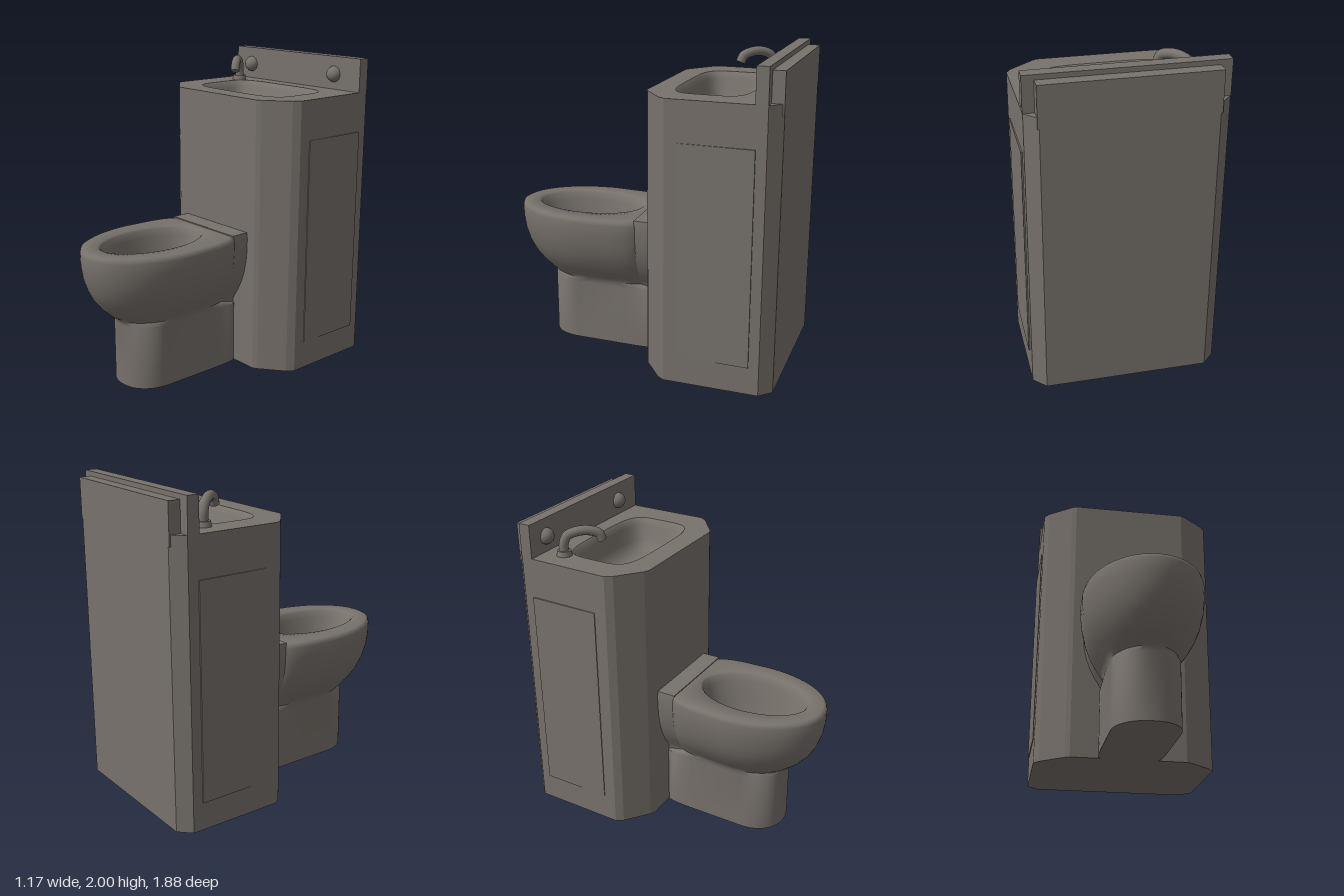
import * as THREE from 'three';
import { toCreasedNormals } from 'three/addons/utils/BufferGeometryUtils.js';

const SEG = 72;

// One horizontal ring: half width w, front f, widest at zc, back b.
// pf / pb square off the front / back half (1 = ellipse), taper narrows the back.
function ring({ y, w, f, zc, b, pf = 1, pb = 1, taper = 0 }) {
  const pts = [];
  for (let i = 0; i < SEG; i++) {
    const t = (i / SEG) * Math.PI * 2;
    const c = Math.cos(t), s = Math.sin(t);
    const p = s >= 0 ? pf : pb;
    const k = Math.pow(Math.abs(s), p);
    const narrow = s < 0 ? 1 - taper * k * k : 1;
    const x = Math.sign(c) * Math.pow(Math.abs(c), p) * w * narrow;
    const z = s >= 0 ? zc + (f - zc) * k : zc - (zc - b) * k;
    pts.push(new THREE.Vector3(x, y, z));
  }
  return pts;
}

// Skin a list of rings
function loft(rings, crease) {
  const pos = [], idx = [];
  rings.forEach(r => r.forEach(p => pos.push(p.x, p.y, p.z)));
  for (let j = 0; j < rings.length - 1; j++) {
    for (let i = 0; i < SEG; i++) {
      const n = (i + 1) % SEG;
      const a = j * SEG + i, b = j * SEG + n, c = a + SEG, d = b + SEG;
      idx.push(a, c, b, b, c, d);
    }
  }
  const g = new THREE.BufferGeometry();
  g.setAttribute('position', new THREE.Float32BufferAttribute(pos, 3));
  g.setIndex(idx);
  return toCreasedNormals(g, crease);
}

// Extrude a floor plan of [x, z] points from y0 to y1, optionally with a hole
function prism(plan, y0, y1, hole) {
  const toShape = ([x, z]) => new THREE.Vector2(x, -z);
  const shape = new THREE.Shape(plan.map(toShape));
  if (hole) shape.holes.push(new THREE.Path(hole.map(p => new THREE.Vector2(p.x, -p.z))));
  const g = new THREE.ExtrudeGeometry(shape, { depth: y1 - y0, bevelEnabled: false });
  return g.rotateX(-Math.PI / 2).translate(0, y0, 0);
}

export function createModel() {
  const model = new THREE.Group();
  model.name = 'toiletAndBasinUnit';
  const steel = new THREE.MeshStandardMaterial({ color: 0x78726c });
  steel.name = 'warm grey steel';

  const add = (name, geometry, x = 0, y = 0, z = 0) => {
    const m = new THREE.Mesh(geometry, steel);
    m.name = name;
    m.position.set(x, y, z);
    model.add(m);
    return m;
  };

  // Cabinet with chamfered corners
  const half = [[0.50, -0.94], [0.575, -0.865], [0.58, -0.26], [0.55, -0.215], [0.40, -0.095], [0.37, -0.08]];
  const plan = [...half, ...half.map(([x, z]) => [-x, z]).reverse()];
  add('cabinet', prism(plan, 0, 1.45));

  // Sink basin set into the cabinet top
  const sinkRing = (y, w, d, p = 0.45) => ring({ y, w, f: -0.455 + d, zc: -0.455, b: -0.455 - d, pf: p, pb: p });
  const lip = sinkRing(1.785, 0.40, 0.235);
  add('cabinetTop', prism(plan, 1.45, 1.785, lip));
  add('sinkBasin', loft([
    lip, sinkRing(1.775, 0.388, 0.224), sinkRing(1.74, 0.372, 0.208), sinkRing(1.65, 0.345, 0.182),
    sinkRing(1.60, 0.315, 0.155, 0.5), sinkRing(1.575, 0.26, 0.11, 0.55), sinkRing(1.565, 0, 0),
  ], 1.0));

  // Backsplash and the plate behind it
  add('backsplash', new THREE.BoxGeometry(1.155, 0.215, 0.075), 0, 1.8925, -0.8275);
  add('backPlate', new THREE.BoxGeometry(1.02, 0.25, 0.078), 0, 1.845, -0.901);

  // Access panels on both cabinet sides
  for (const s of [-1, 1]) {
    add(s > 0 ? 'leftPanel' : 'rightPanel', new THREE.BoxGeometry(0.009, 1.35, 0.46), s * 0.58, 0.855, -0.57);
  }

  // Push buttons
  for (const [name, x] of [['rightButton', -0.425], ['leftButton', 0.36]]) {
    const g = new THREE.SphereGeometry(0.052, 24, 16);
    add(name, g, x, 1.885, -0.79);
  }

  // Gooseneck faucet
  add('faucetCollar', new THREE.CylinderGeometry(0.042, 0.05, 0.035, 24), -0.42, 1.80, -0.66);
  const spout = new THREE.CatmullRomCurve3([
    [-0.42, 1.78, -0.66], [-0.42, 1.86, -0.66], [-0.405, 1.91, -0.64], [-0.365, 1.934, -0.59],
    [-0.315, 1.932, -0.535], [-0.28, 1.91, -0.495], [-0.267, 1.87, -0.48],
  ].map(p => new THREE.Vector3(...p)));
  add('faucetSpout', new THREE.TubeGeometry(spout, 40, 0.03, 16));
  const tip = add('faucetTip', new THREE.CircleGeometry(0.03, 16), -0.267, 1.87, -0.48);
  tip.quaternion.setFromUnitVectors(new THREE.Vector3(0, 0, 1), spout.getTangent(1));

  // Pedestal and bowl outside: [y, half width, front]
  const bowl = [
    [0.44, 0.212, 0.72], [0.47, 0.232, 0.765], [0.52, 0.27, 0.82], [0.58, 0.307, 0.868],
    [0.65, 0.337, 0.905], [0.73, 0.357, 0.93], [0.81, 0.367, 0.942], [0.885, 0.368, 0.943],
  ];
  const foot = (y, s = 1) => ring({ y, w: 0.205 * s, f: 0.48 + 0.23 * s, zc: 0.48, b: 0.48 - 0.58 * s, pf: 0.9, pb: 0.2 });
  const shell = (y, w, f, b = -0.02) => ring({ y, w, f, zc: 0.4, b, pb: 0.3, taper: 0.13 });
  const inside = (y, w, f, b) => ring({ y, w, f, zc: 0.45, b });
  add('toiletBowl', loft([
    foot(0, 0), foot(0), foot(0.41),
    ...bowl.map(([y, w, f]) => shell(y, w, f)),
    shell(0.908, 0.362, 0.936, -0.015), shell(0.916, 0.345, 0.918, 0),
    inside(0.916, 0.232, 0.83, 0.09), inside(0.905, 0.222, 0.818, 0.102), inside(0.86, 0.208, 0.795, 0.118),
    inside(0.74, 0.188, 0.75, 0.15), inside(0.62, 0.165, 0.70, 0.19), inside(0.54, 0.14, 0.66, 0.225),
    inside(0.51, 0.10, 0.60, 0.28), inside(0.50, 0, 0.45, 0.45),
  ], 0.9));

  // Neck joining the bowl to the cabinet
  const side = bowl.map(([y, w]) => [w * 0.83, y]);
  const neck = new THREE.Shape([[0.17, 0.40], ...side, [0.30, 0.922]].map(p => new THREE.Vector2(...p))
    .concat([[0.30, 0.922], ...side.slice().reverse(), [0.17, 0.40]].map(([x, y]) => new THREE.Vector2(-x, y))));
  add('bowlNeck', toCreasedNormals(new THREE.ExtrudeGeometry(neck, { depth: 0.14, bevelEnabled: false }), 0.6), 0, 0, -0.10);

  return model;
}
